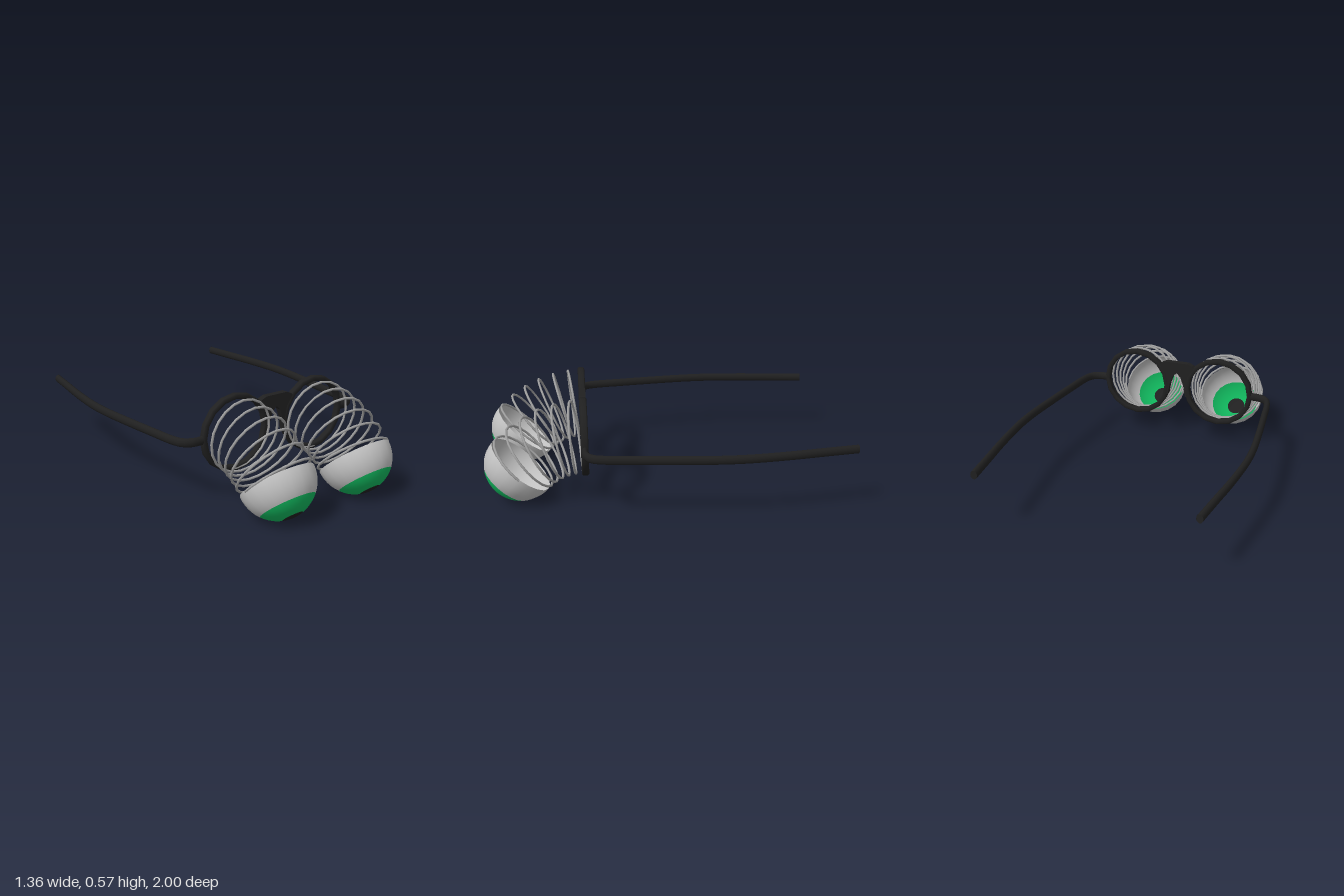
import * as THREE from 'three';

const EYE_X = 0.268, RIM_Y = 0.355, FRAME_Z = 0.445;

function makeMaterial(name, color, side = THREE.FrontSide) {
  const m = new THREE.MeshStandardMaterial({ color, side });
  m.name = name;
  return m;
}

// Helix whose axis bends downward along an arc of radius bend
class BentHelix extends THREE.Curve {
  constructor(side) { super(); this.side = side; }
  getPoint(t, target = new THREE.Vector3()) {
    const bend = 0.467, r = 0.2, a = t * 6 * Math.PI * 2, tilt = t * 0.846;
    const reach = bend - r * Math.sin(a);
    return target.set(
      this.side * (EYE_X + r * Math.cos(a)),
      RIM_Y - bend + reach * Math.cos(tilt),
      0.45 + reach * Math.sin(tilt));
  }
}

export function createModel() {
  const model = new THREE.Group();
  model.name = 'springEyeGlasses';
  const black = makeMaterial('black plastic', 0x202020, THREE.DoubleSide);
  const white = makeMaterial('eye white', 0xc0c0c0, THREE.DoubleSide);
  const green = makeMaterial('iris green', 0x11b45c, THREE.DoubleSide);
  const steel = makeMaterial('spring steel', 0xa0a0a0);

  const add = (name, geometry, material, parent = model) => {
    const mesh = new THREE.Mesh(geometry, material);
    mesh.name = name;
    parent.add(mesh);
    return mesh;
  };

  // Chamfered rim section, turned around the viewing axis
  const rimProfile = [
    [0.187, -0.014], [0.193, -0.02], [0.209, -0.02], [0.216, -0.013],
    [0.216, 0.013], [0.209, 0.02], [0.193, 0.02], [0.187, 0.014], [0.187, -0.014],
  ].map(([x, y]) => new THREE.Vector2(x, y));
  const rimGeometry = new THREE.LatheGeometry(rimProfile, 16).rotateX(Math.PI / 2);

  // Hollow half-ball split into coloured bands: name, start angle, end angle
  const bands = [
    ['pupil', 0, 0.285, black, 3],
    ['iris', 0.285, 0.845, green, 5],
    ['eyeWhite', 0.845, Math.PI / 2, white, 6],
  ];

  for (const [label, side] of [['left', 1], ['right', -1]]) {
    add(label + 'Rim', rimGeometry, black).position.set(side * EYE_X, RIM_Y, FRAME_Z);

    add(label + 'Spring', new THREE.TubeGeometry(new BentHelix(side), 120, 0.007, 6), steel);

    const eye = new THREE.Group();
    eye.name = label + 'Eye';
    eye.position.set(side * EYE_X, 0.203, 0.797);
    eye.rotation.x = THREE.MathUtils.degToRad(138.5);
    for (const [name, from, to, material, rows] of bands) {
      add(name, new THREE.SphereGeometry(0.203, 20, rows, 0, Math.PI * 2, from, to - from), material, eye);
    }
    model.add(eye);

    // Bowed temple arm with an oval section and closed tip
    const path = new THREE.CatmullRomCurve3([
      [0.475, 0.445], [0.53, 0.443], [0.575, 0.415], [0.598, 0.35], [0.617, 0.2], [0.64, 0],
      [0.662, -0.25], [0.663, -0.4], [0.645, -0.62], [0.618, -0.83], [0.597, -1],
    ].map(([x, z]) => new THREE.Vector3(side * x, 0, z)));
    const arm = new THREE.Group();
    arm.name = label + 'Temple';
    arm.position.y = RIM_Y;
    arm.scale.y = 1.35;
    add('templeArm', new THREE.TubeGeometry(path, 48, 0.0185, 10), black, arm);
    const cap = add('templeTip', new THREE.CircleGeometry(0.0185, 10), black, arm);
    cap.position.copy(path.getPoint(1));
    const end = path.getTangent(1);
    cap.rotation.y = Math.atan2(end.x, end.z);
    model.add(arm);
  }

  // Nose bridge: flat top, notch below, webs following both rims
  const half = [[0.07, 0.518], [0.1, 0.505]];
  for (let deg = 138; deg <= 198; deg += 10) {
    const a = THREE.MathUtils.degToRad(deg);
    half.push([EYE_X + 0.202 * Math.cos(a), RIM_Y + 0.202 * Math.sin(a)]);
  }
  half.push([0.057, 0.3], [0.045, 0.37], [0.025, 0.425]);
  const outline = [
    ...half, [0, 0.45],
    ...half.map(([x, y]) => [-x, y]).reverse(),
  ].map(([x, y]) => new THREE.Vector2(x, y));
  const bridge = new THREE.ExtrudeGeometry(new THREE.Shape(outline), { depth: 0.036, bevelEnabled: false });
  add('noseBridge', bridge, black).position.z = FRAME_Z - 0.018;

  return model;
}
